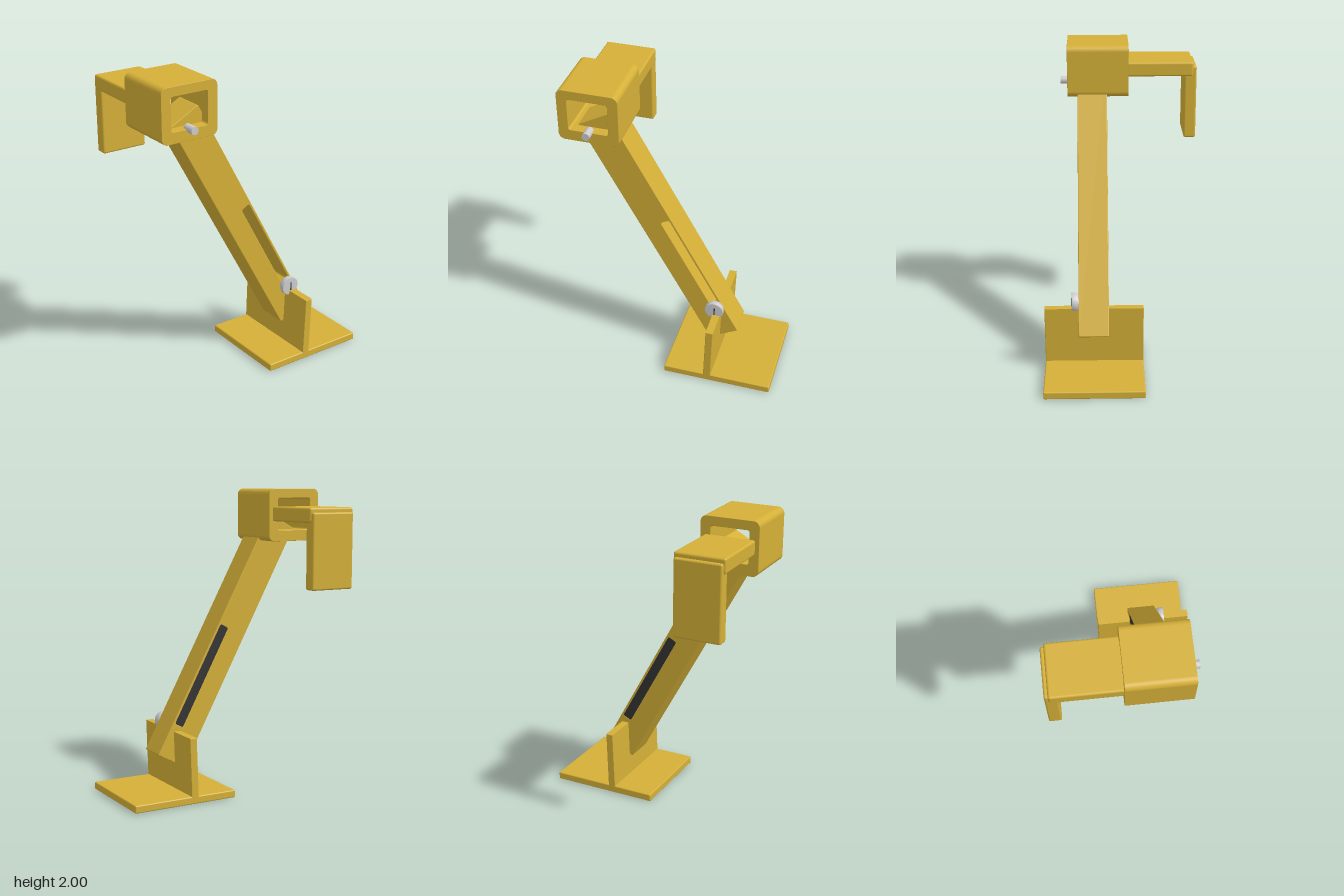
import * as THREE from 'three';
import { RoundedBoxGeometry } from 'three/addons/geometries/RoundedBoxGeometry.js';

const gold = new THREE.MeshStandardMaterial({ color: 0xd4af37 });
const dark = new THREE.MeshStandardMaterial({ color: 0x333333 });
const steel = new THREE.MeshStandardMaterial({ color: 0xcccccc });

// Rounded rectangle outline, usable as a shape or as a hole
function roundedRect(x0, y0, x1, y1, r, Type = THREE.Shape) {
  const s = new Type();
  s.absarc(x1 - r, y0 + r, r, -Math.PI / 2, 0);
  s.absarc(x1 - r, y1 - r, r, 0, Math.PI / 2);
  s.absarc(x0 + r, y1 - r, r, Math.PI / 2, Math.PI);
  s.absarc(x0 + r, y0 + r, r, Math.PI, Math.PI * 1.5);
  s.closePath();
  return s;
}

// Extrude between two z planes with a fine bevel
function extrude(shape, z0, z1, bevel) {
  const geo = new THREE.ExtrudeGeometry(shape, {
    depth: z1 - z0 - 2 * bevel, bevelEnabled: bevel > 0, bevelSize: bevel,
    bevelThickness: bevel, bevelOffset: -bevel, bevelSegments: 2, curveSegments: 8,
  });
  return geo.translate(0, 0, z0 + bevel);
}

// Rounded box given by its extents
function slab(x0, x1, y0, y1, z0, z1, r = 0.008) {
  return new RoundedBoxGeometry(x1 - x0, y1 - y0, z1 - z0, 2, r)
    .translate((x0 + x1) / 2, (y0 + y1) / 2, (z0 + z1) / 2);
}

export function createModel() {
  const model = new THREE.Group();
  const add = (name, geo, mat = gold, parent = model) => {
    const mesh = new THREE.Mesh(geo, mat);
    mesh.name = name;
    parent.add(mesh);
    return mesh;
  };

  // Foot: base plate with a slightly leaning upright
  add('basePlate', slab(-0.02, 0.7, 0, 0.05, -0.14, 0.5));
  const upright = new THREE.Shape([
    [0.25, 0.03], [0.3, 0.03], [0.313, 0.433], [0.264, 0.433],
  ].map(([x, y]) => new THREE.Vector2(x, y)));
  add('upright', extrude(upright, -0.14, 0.5, 0.004));

  // Slanted arm with a long slot, closed by a dark strip at the back
  const arm = new THREE.Group();
  arm.name = 'arm';
  arm.position.set(-0.09, 1.0125, 0);
  arm.rotation.z = 0.497;
  model.add(arm);
  const beam = roundedRect(-0.108, -0.882, 0.108, 0.882, 0.008);
  beam.holes.push(roundedRect(0.031, -0.65, 0.092, 0.068, 0.012, THREE.Path));
  add('armBeam', extrude(beam, 0.085, 0.28, 0.004), gold, arm);
  add('slotStrip', slab(0.029, 0.094, -0.652, 0.07, 0.086, 0.1, 0.002), dark, arm);

  // Square sleeve at the top, open front to back
  const sleeve = roundedRect(-0.707, 1.658, -0.323, 2, 0.04);
  sleeve.holes.push(roundedRect(-0.642, 1.73, -0.39, 1.94, 0.014, THREE.Path));
  add('sleeve', extrude(sleeve, -0.057, 0.345, 0.002));

  // Hook behind the sleeve
  add('hookBar', slab(-0.68, -0.35, 1.79, 1.885, -0.482, -0.045, 0.014));
  add('hookFlap', slab(-0.667, -0.36, 1.37, 1.855, -0.505, -0.425, 0.012));

  // Small pin on the sleeve front
  const pin = new THREE.CylinderGeometry(0.025, 0.025, 0.08, 20).rotateX(Math.PI / 2);
  add('sleevePin', pin.translate(-0.515, 1.73, 0.355), steel);

  // Slotted screw head on the arm
  const profile = [[0, 0], [0.045, 0], [0.056, 0.012], [0.062, 0.03], [0.062, 0.052], [0.058, 0.055], [0, 0.055]]
    .map(([r, h]) => new THREE.Vector2(r, h));
  const screw = new THREE.LatheGeometry(profile, 32).rotateX(Math.PI / 2);
  add('screwHead', screw.translate(0.272, 0.464, 0.27), steel);
  add('screwSlit', new THREE.BoxGeometry(0.008, 0.055, 0.006).translate(0.275, 0.464, 0.325), dark);

  return model;
}
